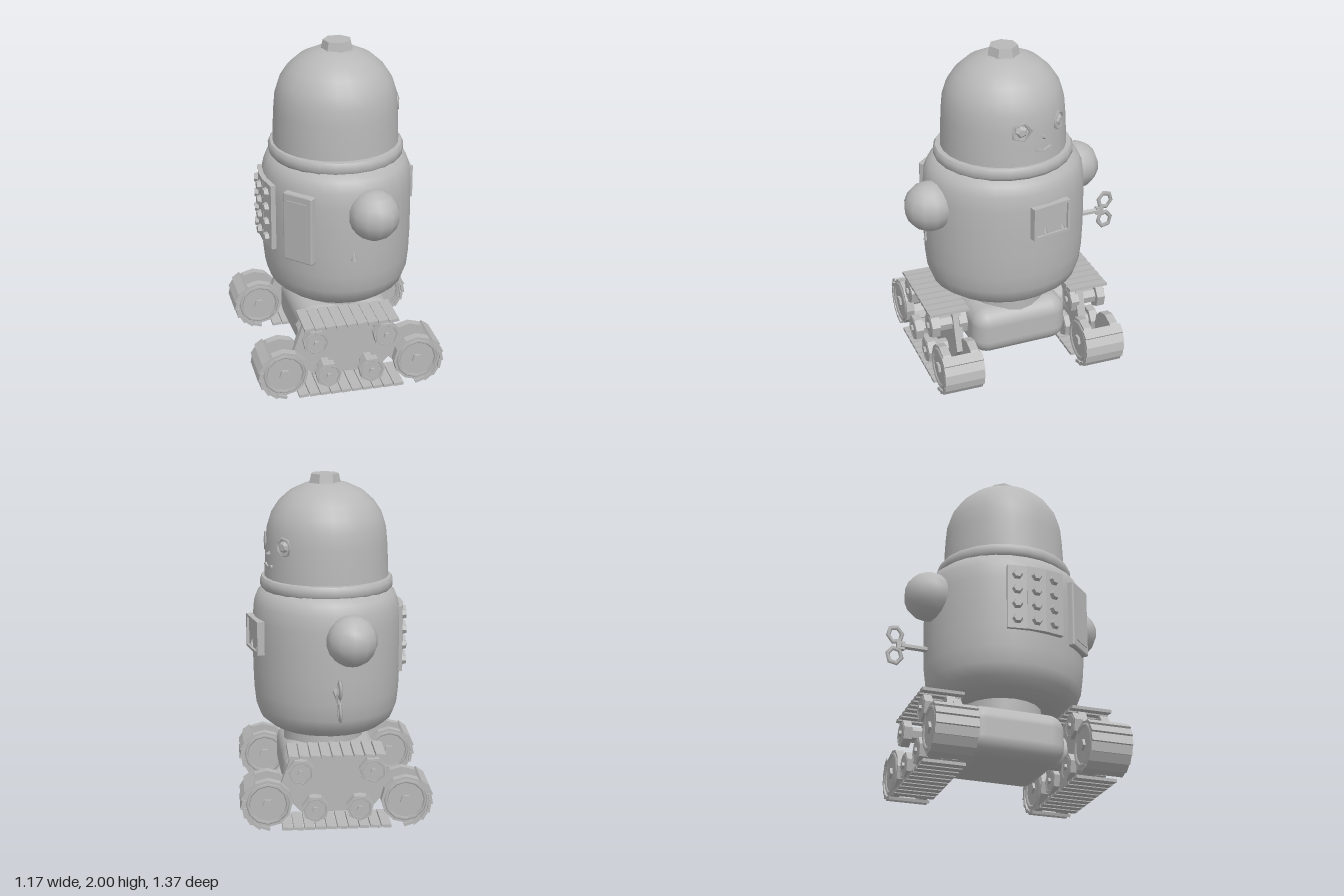
import * as THREE from 'three';
import { toCreasedNormals } from 'three/addons/utils/BufferGeometryUtils.js';
import { RoundedBoxGeometry } from 'three/addons/geometries/RoundedBoxGeometry.js';

const grey = new THREE.MeshStandardMaterial({ color: 0xb8b8b8 });
grey.name = 'plain grey';

function add(parent, name, geometry, x = 0, y = 0, z = 0) {
  const mesh = new THREE.Mesh(geometry, grey);
  mesh.name = name;
  mesh.position.set(x, y, z);
  parent.add(mesh);
  return mesh;
}
function addGroup(parent, name, x = 0, y = 0, z = 0) {
  const g = new THREE.Group();
  g.name = name;
  g.position.set(x, y, z);
  parent.add(g);
  return g;
}
const box = (w, h, d) => new THREE.BoxGeometry(w, h, d);
const drum = (r1, r2, h, sides, crease = 0.7) =>
  toCreasedNormals(new THREE.CylinderGeometry(r1, r2, h, sides), crease);
const lathe = (pts, sides, crease = 0.9) =>
  toCreasedNormals(new THREE.LatheGeometry(pts.map(p => new THREE.Vector2(...p)), sides), crease);
// Cylinder lying along z or along x
const drumZ = (r, h, sides, crease) => drum(r, r, h, sides, crease).rotateX(Math.PI / 2);
const drumX = (r1, r2, h, sides, crease) => drum(r1, r2, h, sides, crease).rotateZ(-Math.PI / 2);

function buildHead(root) {
  const head = addGroup(root, 'head', 0.018, 0, 0.042);
  add(head, 'neckRing', lathe([[0.33, 1.31], [0.385, 1.325], [0.396, 1.345], [0.396, 1.38], [0.385, 1.397], [0.34, 1.4]], 24))
    .scale.z = 1.04;
  add(head, 'dome', lathe([[0.37, 1.38], [0.366, 1.5], [0.361, 1.6], [0.353, 1.69], [0.328, 1.77],
    [0.282, 1.84], [0.215, 1.9], [0.13, 1.94], [0.06, 1.955], [0, 1.957]], 28));
  add(head, 'topKnob', drum(0.083, 0.097, 0.06, 7, 0.3), 0.01, 1.97, 0);

  // Face details set around the dome, facing +x
  const onDome = (name, angle, y, r) => {
    const g = addGroup(head, name, Math.cos(angle) * r, y, -Math.sin(angle) * r);
    g.rotation.y = angle;
    return g;
  };
  for (const [name, angle, size, sides] of [['leftSideEye', 0.7, 0.052, 7], ['rightSideEye', -0.09, 0.055, 5]]) {
    const eye = onDome(name, angle, 1.605, 0.358);
    add(eye, 'eyeRim', new THREE.TorusGeometry(size, 0.01, 4, sides).rotateY(Math.PI / 2));
    add(eye, 'eyeBall', drumX(size * 0.4, size * 0.95, 0.025, sides, 0.3));
  }
  add(onDome('nose', 0.3, 1.55, 0.366), 'noseTip', new THREE.ConeGeometry(0.024, 0.045, 4).rotateZ(-Math.PI / 2));
  const mouth = onDome('mouth', 0.29, 1.475, 0.366);
  for (const s of [-1, 1])
    add(mouth, 'lip', box(0.018, 0.014, 0.055), 0, 0, s * 0.026).rotation.x = -s * 0.3;
}

function buildBody(root) {
  const body = add(root, 'body', lathe([[0, 0.482], [0.27, 0.485], [0.345, 0.505], [0.4, 0.55], [0.425, 0.62],
    [0.436, 0.72], [0.441, 0.85], [0.442, 1.0], [0.441, 1.15], [0.433, 1.24], [0.41, 1.3], [0.37, 1.335], [0, 1.34]], 28),
  0.02, 0, 0.042);
  body.scale.z = 1.1;
  add(root, 'waist', drum(0.24, 0.24, 0.13, 20), 0.04, 0.45, 0.03);

  // Round shoulder caps
  for (const [name, x, z] of [['frontArmBall', 0.11, 0.538], ['backArmBall', -0.07, -0.464]])
    add(root, name, new THREE.SphereGeometry(0.148, 12, 9), x, 1.11, z);
  add(root, 'frontLatch', new THREE.ConeGeometry(0.022, 0.08, 4), 0.0, 0.87, 0.522);

  // Framed gauge on the chest
  const gauge = addGroup(root, 'chestGauge', 0.457, 1.07, -0.075);
  gauge.rotation.y = 0.2;
  add(gauge, 'gaugePlate', box(0.03, 0.2, 0.25), -0.01);
  for (const s of [-1, 1]) {
    add(gauge, 'gaugeFrameBar', box(0.018, 0.016, 0.25), 0.01, s * 0.092);
    add(gauge, 'gaugeFramePost', box(0.018, 0.2, 0.016), 0.01, 0, s * 0.117);
    add(gauge, 'gaugePointer', new THREE.ConeGeometry(0.018, 0.045, 4), 0.005, -0.06, s * 0.06 - 0.02);
  }

  // Hatch on the front right corner
  const hatch = addGroup(root, 'hatch', -0.288, 1.01, 0.39);
  hatch.rotation.y = -0.85;
  add(hatch, 'hatchPlate', new RoundedBoxGeometry(0.2, 0.42, 0.05, 1, 0.012));
  add(hatch, 'hatchInset', box(0.13, 0.33, 0.008), 0, 0, 0.026);

  // Button board on the back, bent around the body in three strips
  const board = addGroup(root, 'buttonBoard', 0, 1.02, 0.07);
  for (let col = -1; col <= 1; col++) {
    const strip = addGroup(board, 'buttonStrip', -0.428 + Math.abs(col) * 0.012, 0, col * 0.112);
    strip.rotation.y = col * 0.18;
    add(strip, 'stripPlate', box(0.03, 0.4, 0.118));
    for (let row = 0; row < 4; row++)
      add(strip, 'button', drumX(0.034, 0.024, 0.03, 6, 0.3), -0.024, 0.141 - row * 0.094);
  }

  // Wind-up key
  const key = addGroup(root, 'windUpKey', 0.02, 0.81, 0);
  add(key, 'keyShaft', drumZ(0.018, 0.2, 6), 0, 0, -0.5);
  add(key, 'keyHub', box(0.024, 0.05, 0.05), 0, 0, -0.6);
  for (const s of [-1, 1]) {
    const loop = add(key, 'keyLoop', new THREE.TorusGeometry(0.043, 0.014, 4, 6).rotateY(Math.PI / 2), 0, s * 0.066, -0.635);
    loop.scale.set(0.7, 1.15, 1);
    loop.rotation.x = -s * 0.2;
  }
}

function buildTread(root, name, x, z, side) {
  const tread = addGroup(root, name, x, 0, z);
  tread.rotation.y = -0.03;

  // Side plate carrying the rollers, tapering to the bottom
  const shape = new THREE.Shape();
  shape.moveTo(-0.2, 0.06);
  for (const [px, py] of [[0.2, 0.06], [0.33, 0.2], [0.25, 0.43], [-0.25, 0.43], [-0.33, 0.2]]) shape.lineTo(px, py);
  const plate = new THREE.ExtrudeGeometry(shape, { depth: 0.05, bevelEnabled: false });
  add(tread, 'sidePlate', plate, 0, 0, -side * 0.05 - 0.025);

  // Each roller is a pair of discs with caps on a shared axle
  const wheels = [[-0.4, 0.168, 0.142, 12, 0.25], [0.4, 0.168, 0.142, 12, 0.25],
    [-0.21, 0.35, 0.08, 7, 0.6], [0.21, 0.35, 0.08, 7, 0.6], [-0.135, 0.125, 0.08, 7, 0.6], [0.125, 0.125, 0.08, 7, 0.6]];
  for (const [wx, wy, r, sides, axle] of wheels) {
    const wheel = addGroup(tread, r > 0.1 ? 'driveWheel' : 'roller', wx, wy, 0);
    add(wheel, 'axle', drumZ(r * axle, 0.2, sides));
    for (const s of [-1, 1]) {
      add(wheel, 'wheelDisc', drumZ(r, 0.05, sides, 0.3), 0, 0, s * 0.085);
      add(wheel, 'wheelRim', new THREE.TorusGeometry(r * 0.82, r * 0.1, 4, sides), 0, 0, s * 0.107);
      add(wheel, 'wheelCap', drumZ(r * 0.24, 0.02, 5, 0.3), 0, 0, s * 0.115);
    }
  }

  // Belt slats: top run, bottom run and around the outside of both drive wheels
  const slat = (px, py, angle) => {
    add(tread, 'slat', box(0.058, 0.018, 0.245), px, py, 0).rotation.z = angle;
  };
  for (let i = 0; i < 9; i++) slat((i - 4) * 0.063, 0.447, 0.12);
  for (let i = 0; i < 10; i++) slat((i - 4.5) * 0.064, 0.014, 0.06);
  for (const s of [-1, 1])
    for (let i = 0; i < 7; i++) {
      const a = 0.74 - i * 0.365;
      slat(s * (0.4 + Math.cos(a) * 0.145), 0.168 + Math.sin(a) * 0.145, s * (a - Math.PI / 2 + 0.2));
    }
}

export function createModel() {
  const root = new THREE.Group();
  root.name = 'toyRobot';
  buildHead(root);
  buildBody(root);
  add(root, 'hull', new RoundedBoxGeometry(0.58, 0.3, 0.6, 4, 0.1), 0.02, 0.265, 0.03);
  // Stub axles joining the hull to the treads
  add(root, 'crossAxle', drumZ(0.1, 0.8, 12), 0.0, 0.26, 0.03);
  buildTread(root, 'frontTread', -0.025, 0.47, 1);
  buildTread(root, 'backTread', 0.018, -0.415, -1);
  return root;
}
